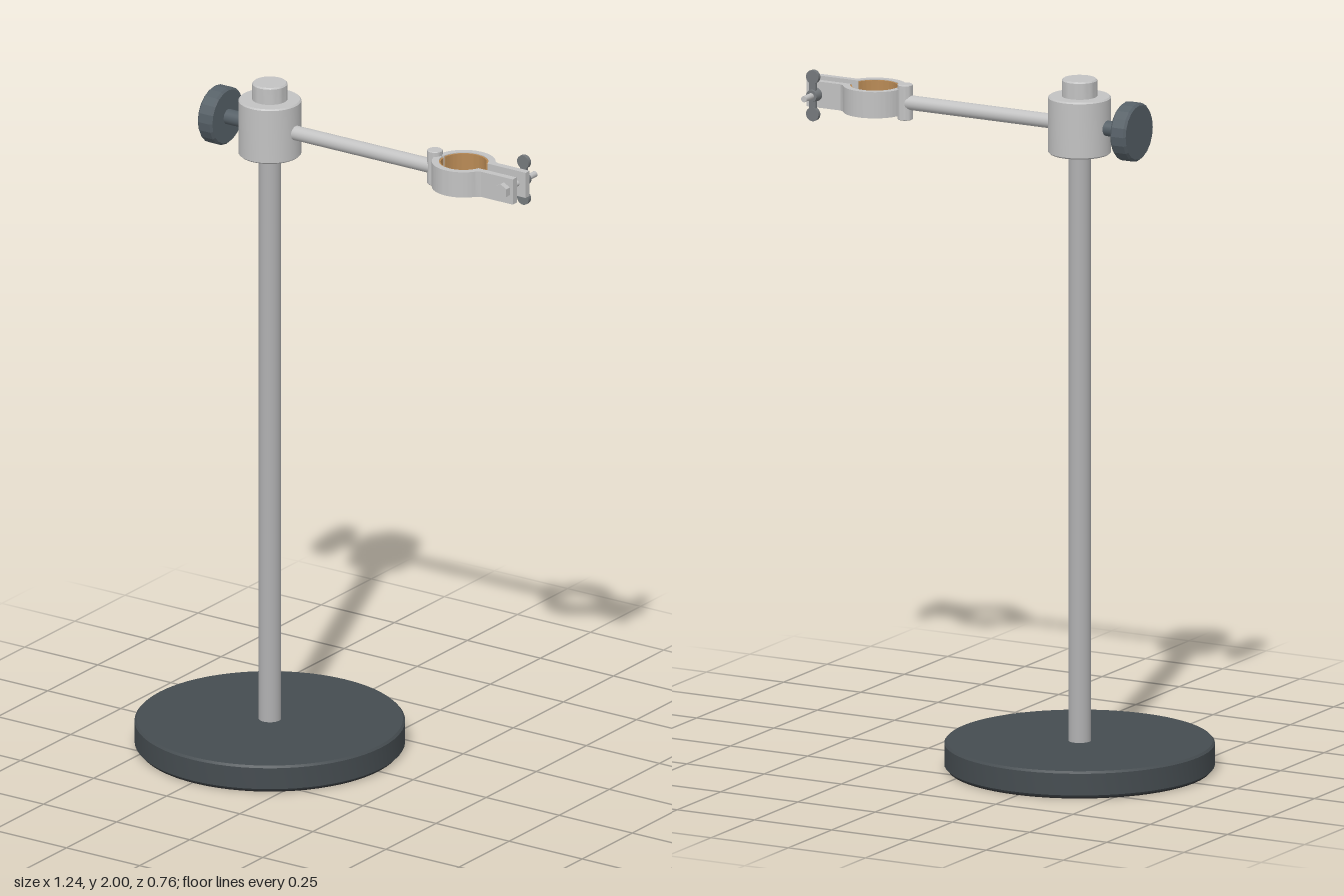
import * as THREE from 'three';
import { toCreasedNormals } from 'three/addons/utils/BufferGeometryUtils.js';

const POST_X = -0.24, ARM_Y = 1.866, RING_X = 0.423, BOLT_X = 0.59;

function material(name, color) {
  const m = new THREE.MeshStandardMaterial({ color });
  m.name = name;
  return m;
}

// Cylinder with a small chamfer on both rims, standing on y = 0
function chamferedCylinder(radius, height, bevel, sides, crease = 0.5) {
  const profile = [
    [0, 0], [radius - bevel, 0], [radius, bevel],
    [radius, height - bevel], [radius - bevel, height], [0, height],
  ].map(([r, y]) => new THREE.Vector2(r, y));
  return toCreasedNormals(new THREE.LatheGeometry(profile, sides), crease);
}

// Flat plan shape raised to a height centred on y = 0
function raise(shape, height) {
  const g = new THREE.ExtrudeGeometry(shape, { depth: height, bevelEnabled: false, curveSegments: 32 });
  g.translate(0, 0, -height / 2).rotateX(-Math.PI / 2);
  return toCreasedNormals(g, 0.5);
}

// Half of the clamp ring together with its straight bolt tab
function jawShape() {
  const outer = 0.09, inner = 0.07, near = 0.022, far = 0.042, end = 0.197;
  const s = new THREE.Shape();
  s.moveTo(inner * Math.cos(Math.asin(near / inner)), near);
  s.lineTo(end, near);
  s.lineTo(end, far);
  s.lineTo(0.088, far);
  s.absarc(0, 0, outer, Math.asin(0.049 / outer), Math.PI - 0.04, false);
  s.absarc(0, 0, inner, Math.PI - 0.06, Math.asin(near / inner), true);
  return s;
}

// Thin arc lining one jaw
function linerShape() {
  const s = new THREE.Shape();
  s.absarc(0, 0, 0.0705, 0.34, Math.PI - 0.08, false);
  s.absarc(0, 0, 0.065, Math.PI - 0.08, 0.34, true);
  return s;
}

export function createModel() {
  const steel = material('light steel', 0xc2c2c2);
  const rodSteel = material('rod steel', 0xb0b0b1);
  const iron = material('painted iron', 0x454c50);
  const plastic = material('knob plastic', 0x566067);
  const rubber = material('foot rubber', 0x222324);
  const cork = material('cork', 0xb98a55);
  const hardware = material('dark hardware', 0x75797c);

  const model = new THREE.Group();
  const add = (name, geometry, mat, x, y, z, parent = model) => {
    const mesh = new THREE.Mesh(geometry, mat);
    mesh.name = name;
    mesh.position.set(x, y, z);
    parent.add(mesh);
    return mesh;
  };
  const alongX = (g) => g.rotateZ(-Math.PI / 2);
  const alongZ = (g) => g.rotateX(Math.PI / 2);

  // Base and post
  add('footPad', new THREE.CylinderGeometry(0.372, 0.372, 0.008, 64), rubber, POST_X, 0.004, 0);
  add('base', chamferedCylinder(0.382, 0.075, 0.006, 64), iron, POST_X, 0.005, 0);
  add('post', new THREE.CylinderGeometry(0.032, 0.032, 1.74, 32), rodSteel, POST_X, 0.94, 0);

  // Boss head with its cap
  add('boss', chamferedCylinder(0.089, 0.165, 0.004, 48), steel, POST_X, 1.785, 0);
  add('bossCap', chamferedCylinder(0.05, 0.055, 0.004, 40), steel, POST_X, 1.945, 0);

  // Tightening knob
  add('knobStem', alongX(new THREE.CylinderGeometry(0.022, 0.022, 0.09, 24)), plastic, -0.355, ARM_Y, 0);
  add('knob', alongX(chamferedCylinder(0.084, 0.05, 0.006, 20, 0.2)), plastic, -0.433, ARM_Y, 0);

  // Arm and hinge
  add('arm', alongX(new THREE.CylinderGeometry(0.021, 0.021, 0.49, 28)), steel, 0.07, ARM_Y, 0);
  add('hinge', chamferedCylinder(0.022, 0.102, 0.002, 28), steel, 0.325, 1.816, 0);

  // Clamp jaws and cork liners, mirrored front to back
  const clamp = new THREE.Group();
  clamp.name = 'clamp';
  clamp.position.set(RING_X, ARM_Y, 0);
  model.add(clamp);
  const jaw = raise(jawShape(), 0.076);
  const liner = raise(linerShape(), 0.072);
  for (const [side, turn] of [['back', 0], ['front', Math.PI]]) {
    add(side + 'Jaw', jaw, steel, 0, 0, 0, clamp).rotation.x = turn;
    add(side + 'Liner', liner, cork, 0, 0, 0, clamp).rotation.x = turn;
  }

  // Bolt with hexagonal head
  add('boltShaft', alongZ(new THREE.CylinderGeometry(0.009, 0.009, 0.16, 20)), steel, BOLT_X, ARM_Y, -0.032);
  add('boltHead', toCreasedNormals(alongZ(new THREE.CylinderGeometry(0.023, 0.023, 0.018, 6)), 0.3),
    steel, BOLT_X, ARM_Y, 0.051);

  // Wing nut: hub, and two upright wings with round tips
  const nut = new THREE.Group();
  nut.name = 'wingNut';
  nut.position.set(BOLT_X, ARM_Y, -0.056);
  model.add(nut);
  add('nutHub', alongZ(new THREE.CylinderGeometry(0.02, 0.017, 0.028, 24)), hardware, 0, 0, 0, nut);
  for (const s of [-1, 1]) {
    add('wingNeck', new THREE.BoxGeometry(0.02, 0.035, 0.01), hardware, 0, s * 0.03, -0.002, nut);
    add('wingTip', alongZ(new THREE.CylinderGeometry(0.02, 0.02, 0.012, 24)), hardware, 0, s * 0.054, -0.002, nut);
  }
  return model;
}
